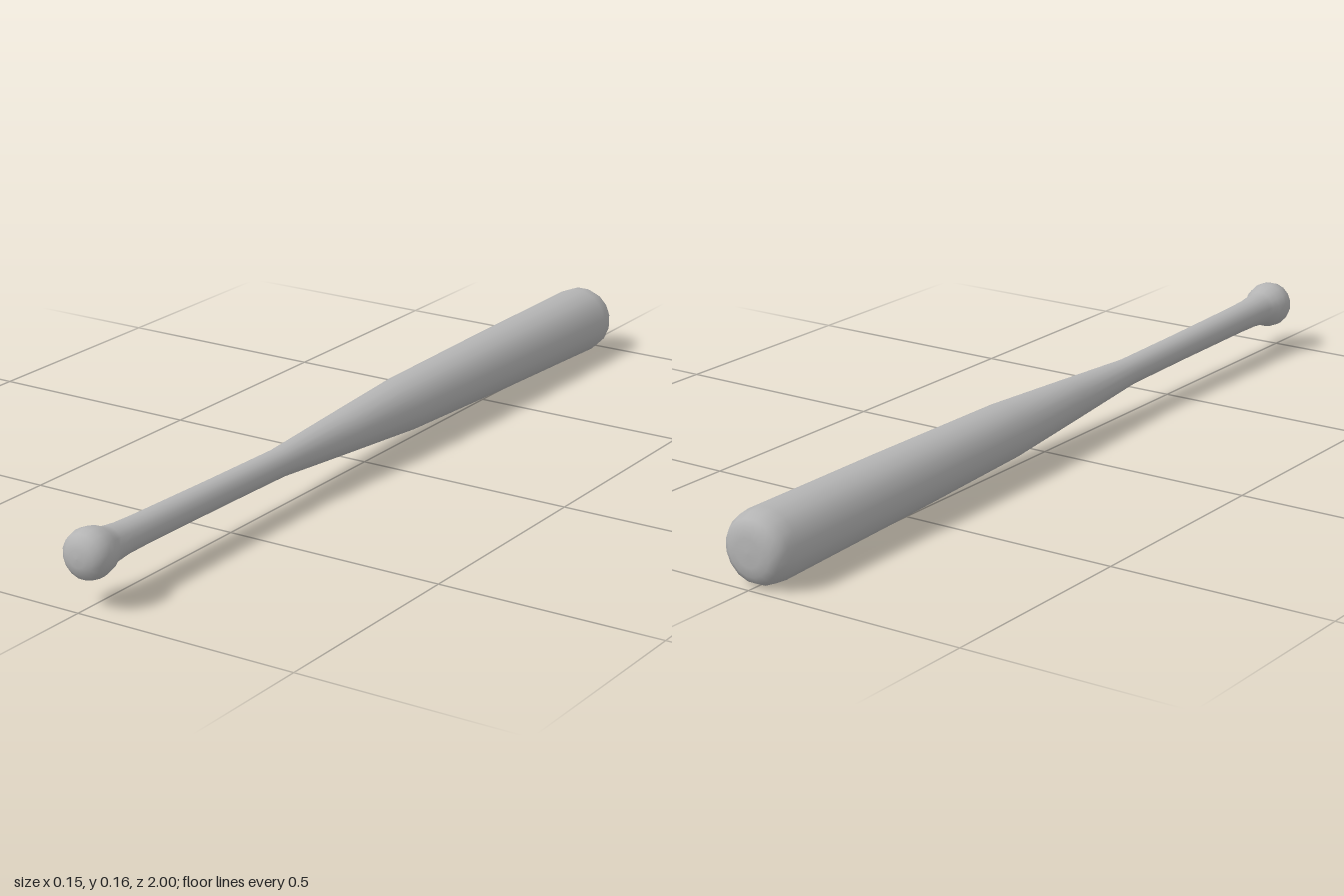
import * as THREE from 'three';

export function createModel() {
  const group = new THREE.Group();
  group.name = 'bat';
  const grey = new THREE.MeshStandardMaterial({ color: 0xb4b4b4 });
  grey.name = 'plain grey';

  // Half profile [radius, position along the axis], from barrel end to knob
  const profile = [
    [0, -1], [0.03, -0.999], [0.05, -0.996], [0.066, -0.986], [0.075, -0.968], [0.078, -0.94],
    [0.0755, -0.8], [0.0715, -0.55], [0.067, -0.35], [0.0625, -0.15],
    [0.047, 0.09], [0.031, 0.33], [0.031, 0.55], [0.0325, 0.8], [0.034, 0.86],
    [0.038, 0.9], [0.041, 0.915], [0.048, 0.93], [0.0525, 0.95], [0.0525, 0.966],
    [0.047, 0.983], [0.034, 0.994], [0.018, 0.999], [0, 1],
  ].map(([r, s]) => new THREE.Vector2(r, s));

  // Sixteen sides with a flat facing down
  const body = new THREE.Mesh(new THREE.LatheGeometry(profile, 16, Math.PI / 16), grey);
  body.name = 'batBody';

  // Lay it along z, resting on the barrel with the handle slightly raised
  body.rotation.x = Math.acos(0.0175);
  body.position.y = 0.0945;
  group.add(body);
  return group;
}
